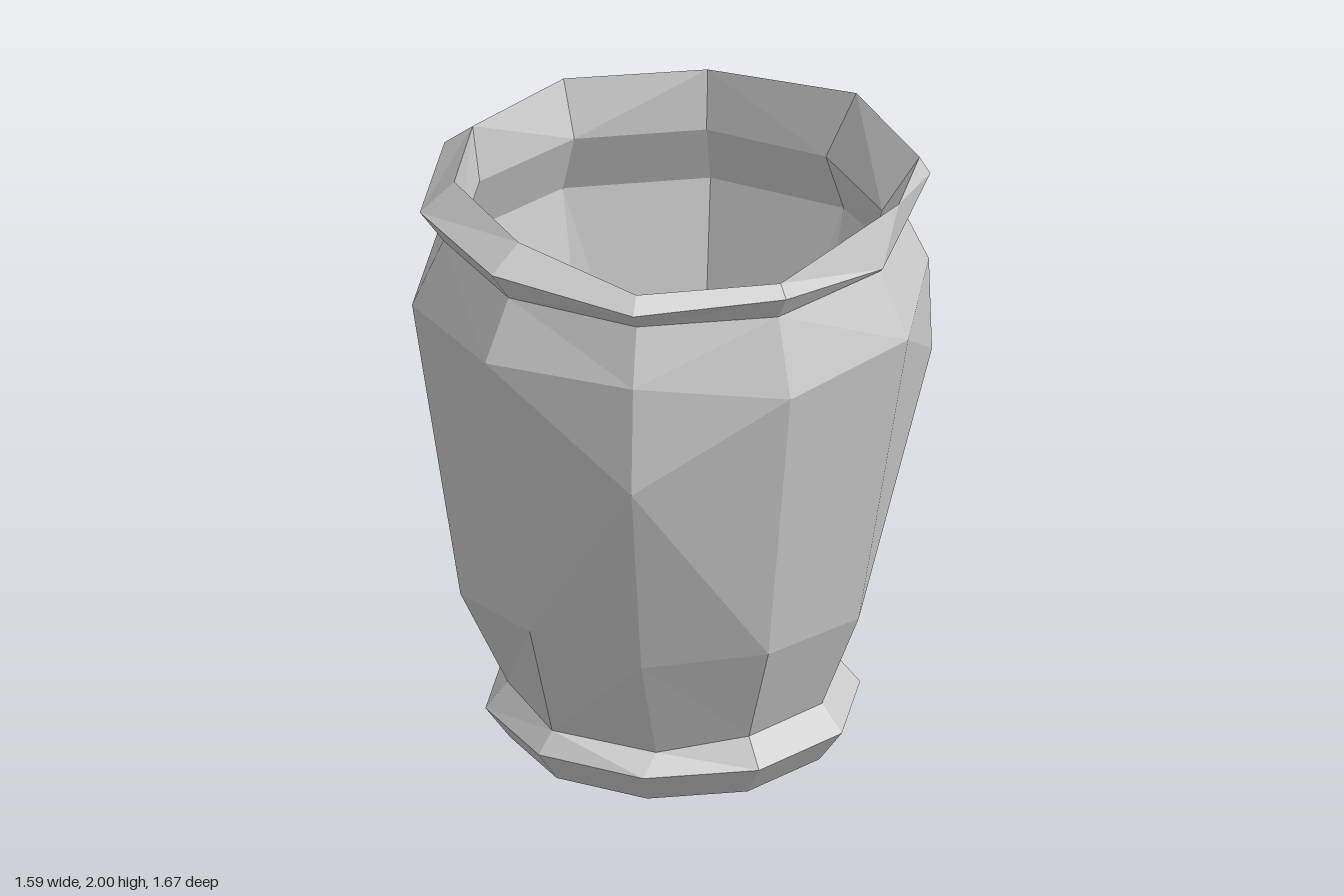
import * as THREE from 'three';

const SIDES = 10;

// A ring of ten corners, counted from the front (+z) towards +x.
// tweaks: { corner: [radius, y, shift in steps] } for the uneven, hand-hewn corners
function ring(radius, y, tweaks = {}) {
  return Array.from({ length: SIDES }, (_, k) => {
    const [r, h, shift = 0] = tweaks[k] ?? [radius, y];
    const a = ((k + shift) / SIDES) * Math.PI * 2;
    return new THREE.Vector3(Math.sin(a) * r, h, Math.cos(a) * r);
  });
}

// Skins a list of rings, splitting each quad along its shorter diagonal.
function skin(name, rings, { capStart = false, capEnd = false } = {}) {
  const pos = [];
  const tri = (a, b, c) => {
    const area = b.clone().sub(a).cross(c.clone().sub(a)).length();
    if (area > 1e-6) for (const p of [a, b, c]) pos.push(p.x, p.y, p.z);
  };
  for (let i = 0; i + 1 < rings.length; i++) {
    for (let k = 0; k < SIDES; k++) {
      const n = (k + 1) % SIDES;
      const a = rings[i][k], b = rings[i][n], c = rings[i + 1][n], d = rings[i + 1][k];
      if (a.distanceTo(c) < b.distanceTo(d)) { tri(a, b, c); tri(a, c, d); }
      else { tri(a, b, d); tri(b, c, d); }
    }
  }
  const first = rings[0], last = rings[rings.length - 1];
  for (let k = 1; k + 1 < SIDES; k++) {
    if (capStart) tri(first[0], first[k + 1], first[k]);
    if (capEnd) tri(last[0], last[k], last[k + 1]);
  }
  const geo = new THREE.BufferGeometry();
  geo.setAttribute('position', new THREE.Float32BufferAttribute(pos, 3));
  geo.computeVertexNormals();
  const mesh = new THREE.Mesh(geo, new THREE.MeshStandardMaterial({ color: 0xcccccc, flatShading: true }));
  mesh.name = name;
  return mesh;
}

export function createModel() {
  const group = new THREE.Group();
  group.name = 'pot';

  // rings shared by neighbouring parts
  const ankle = ring(0.53, 0.2, { 0: [0.5, 0.155, 0.08], 5: [0.56, 0.19], 4: [0.58, 0.2], 9: [0.54, 0.175] });
  const neck = ring(0.735, 1.775);
  const mouth = ring(0.685, 1.77, { 0: [0.655, 1.77], 2: [0.665, 1.77, 0.1], 3: [0.67, 1.77], 1: [0.66, 1.77] });
  const floor = ring(0.465, 0.22, { 0: [0.43, 0.22], 1: [0.455, 0.22], 5: [0.5, 0.22], 3: [0.485, 0.22] });

  // foot with a chipped back edge
  group.add(skin('foot', [
    ring(0.52, 0, { 4: [0.43, 0], 5: [0.33, 0], 6: [0.43, 0] }),
    ring(0.6, 0.11, { 5: [0.6, 0.08] }),
    ankle,
  ], { capStart: true }));

  // body: three corners of the belly hang lower than the shoulder
  const shoulder = { 0: [0.81, 1.59], 1: [0.82, 1.52], 3: [0.82, 1.59], 4: [0.84, 1.52], 5: [0.835, 1.53], 6: [0.82, 1.58], 9: [0.84, 1.58] };
  group.add(skin('body', [
    ankle,
    ring(0.66, 0.53, { 0: [0.64, 0.52], 1: [0.665, 0.55], 3: [0.64, 0.53], 5: [0.63, 0.53], 8: [0.68, 0.52], 9: [0.64, 0.56] }),
    ring(0.835, 1.555, { ...shoulder, 0: [0.84, 1.23], 3: [0.83, 1.27], 6: [0.84, 1.25] }),
    ring(0.835, 1.555, shoulder),
    neck,
  ]));

  // uneven rim, notched on the left and peaked at the back left corner
  group.add(skin('rim', [
    neck,
    ring(0.81, 1.88, { 0: [0.805, 1.845], 1: [0.79, 1.86], 2: [0.745, 1.785], 3: [0.825, 1.89], 4: [0.83, 1.9], 5: [0.835, 1.86], 6: [0.83, 1.88] }),
    ring(0.71, 1.96, {
      0: [0.74, 1.89], 1: [0.75, 1.9], 2: [0.745, 1.95, 0.3], 3: [0.79, 1.95], 4: [0.75, 2, -0.16],
      5: [0.71, 1.97], 6: [0.76, 1.95], 8: [0.7, 1.98], 9: [0.69, 1.955],
    }),
    mouth,
  ]));

  // hollow inside and its floor
  group.add(skin('inside', [mouth, ring(0.765, 1.56), floor], { capEnd: true }));
  return group;
}
